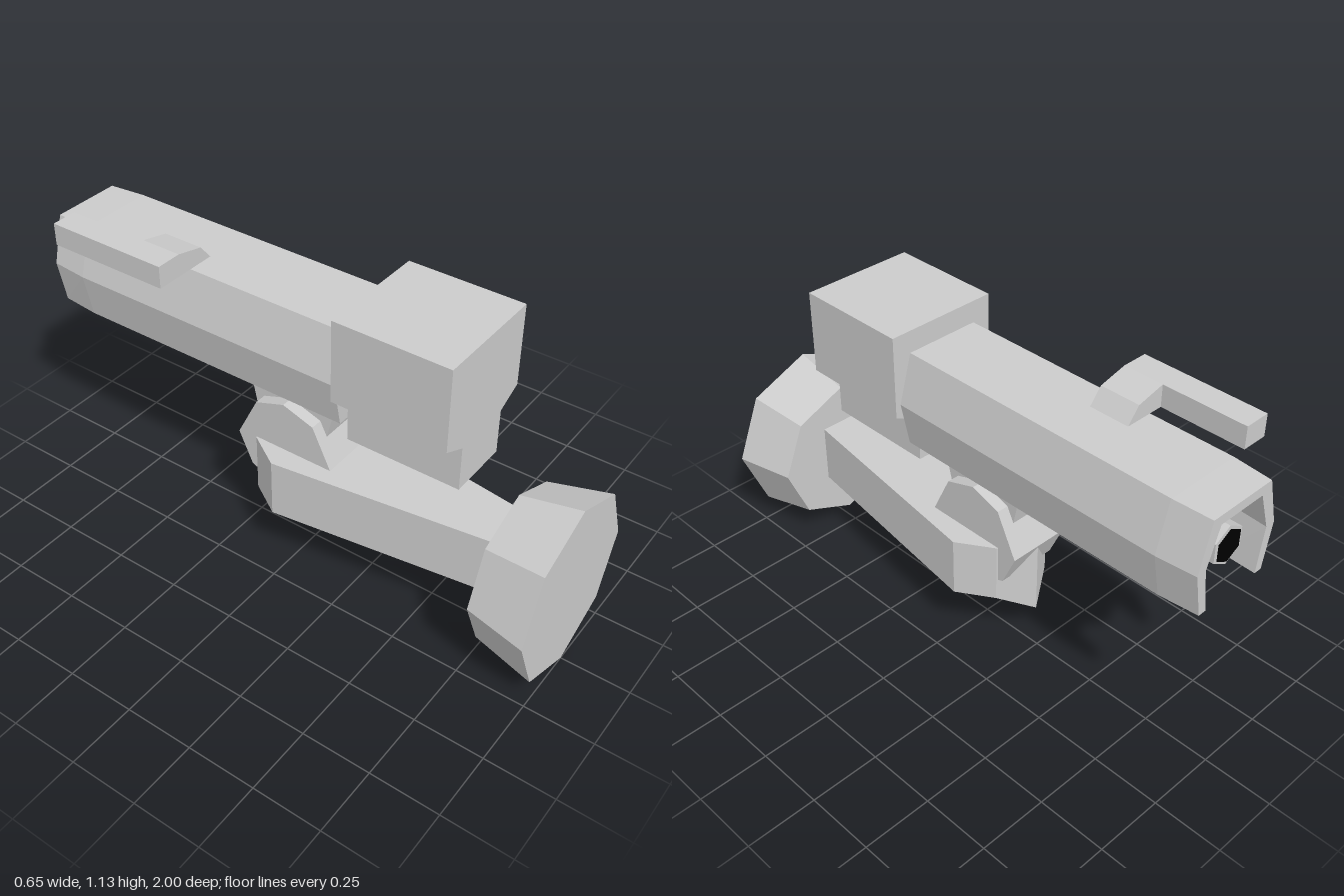
import * as THREE from 'three';

const grey = new THREE.MeshStandardMaterial({ color: 0xcccccc, flatShading: true });
const black = new THREE.MeshStandardMaterial({ color: 0x000000, flatShading: true });

const shapeOf = pts => new THREE.Shape(pts.map(p => new THREE.Vector2(p[0], p[1])));

// Mirrors a right-hand outline (listed bottom to top) into a closed symmetric one.
const mirrored = half => [...half, ...half.filter(p => p[0] > 0).reverse().map(([x, y]) => [-x, y])];

// Extrudes an x,y outline between two z planes.
function extrudeZ(pts, z0, z1) {
  return new THREE.ExtrudeGeometry(shapeOf(pts), { depth: z1 - z0, bevelEnabled: false }).translate(0, 0, z0);
}

// Extrudes a z,y outline across x, centred.
function extrudeX(pts, width) {
  return extrudeZ(pts.map(([z, y]) => [-z, y]), -width / 2, width / 2).rotateY(Math.PI / 2);
}

// Joins counter-clockwise convex sections running from front (+z) to back.
function loft(sections) {
  const pos = [];
  const tri = (...v) => v.forEach(p => pos.push(...p));
  const n = sections[0].length;
  for (let s = 0; s + 1 < sections.length; s++) {
    const a = sections[s], b = sections[s + 1];
    for (let i = 0; i < n; i++) {
      const j = (i + 1) % n;
      tri(a[i], b[i], a[j]);
      tri(b[i], b[j], a[j]);
    }
  }
  const first = sections[0], last = sections[sections.length - 1];
  for (let i = 1; i < n - 1; i++) {
    tri(first[0], first[i], first[i + 1]);
    tri(last[0], last[i + 1], last[i]);
  }
  const g = new THREE.BufferGeometry();
  g.setAttribute('position', new THREE.Float32BufferAttribute(pos, 3));
  g.computeVertexNormals();
  return g;
}

export function createModel() {
  const group = new THREE.Group();
  const add = (name, geometry, material = grey) => {
    const mesh = new THREE.Mesh(geometry, material);
    mesh.name = name;
    group.add(mesh);
    return mesh;
  };

  // Octagonal mounting pad, flaring to the front
  add('mountingPad', new THREE.CylinderGeometry(0.325, 0.275, 0.22, 8)
    .rotateX(Math.PI / 2).translate(0, 0.33, 0.89));

  // Support arm: keeled section, widest near the pivot, pointed at the back
  const armStations = [[0.78, 0.09], [-0.04, 0.2], [-0.165, 0.12], [-0.24, 0.001]];
  add('supportArm', loft(armStations.map(([z, w]) => {
    const side = w < 0.01 ? 0.17 : 0.24;
    return [[0, 0.17, z], [w, side, z], [w, 0.46, z], [-w, 0.46, z], [-w, side, z]];
  })));

  // Pivot wheel and the post that carries the barrel
  add('pivotWheel', extrudeX([[0.145, 0.455], [0.07, 0.61], [-0.05, 0.65], [-0.165, 0.61],
    [-0.245, 0.45], [-0.19, 0.33], [-0.05, 0.27], [0.09, 0.33]], 0.23));
  add('pivotPost', extrudeX([[0.14, 0.73], [0.07, 0.45], [-0.17, 0.45], [-0.23, 0.73]], 0.14));

  // Breech block with a narrower lower half
  add('breechBlock', extrudeZ(mirrored([[0.115, 0.63], [0.115, 0.795], [0.21, 0.84], [0.21, 1.14]]), 0.21, 0.63));

  // Six-sided barrel
  const outer = [[0.157, 0.72], [0.19, 0.885], [0.14, 1.06]];
  add('barrel', loft([0.21, -0.86].map(z => mirrored(outer).map(([x, y]) => [x, y, z]))));

  // Barrel hood: thin walls, open below, narrowing slightly to the end
  const inner = [[0.1, 1.025], [0.15, 0.885], [0.125, 0.72]];
  const hoodOutline = [...outer, ...outer.map(([x, y]) => [-x, y]).reverse(),
    ...inner.map(([x, y]) => [-x, y]).reverse(), ...inner];
  const hood = extrudeZ(hoodOutline, -1, -0.86);
  const p = hood.attributes.position;
  for (let i = 0; i < p.count; i++) {
    if (p.getZ(i) < -0.95) p.setXY(i, p.getX(i) * 0.93, 0.885 + (p.getY(i) - 0.885) * 0.98);
  }
  hood.computeVertexNormals();
  add('barrelHood', hood);

  // Recessed six-sided muzzle with a dark bore
  add('muzzle', new THREE.CylinderGeometry(0.07, 0.07, 0.12, 6)
    .rotateX(Math.PI / 2).translate(0, 0.88, -0.91));
  add('bore', new THREE.CircleGeometry(0.06, 6)
    .rotateZ(Math.PI / 2).rotateY(Math.PI).translate(0, 0.88, -0.973), black);

  // Side sight: a bar beside the barrel with a sloped foot resting on top
  add('sightBar', new THREE.BoxGeometry(0.095, 0.08, 0.46).translate(-0.2375, 1.1, -0.63));
  add('sightFoot', extrudeZ([[-0.19, 1.06], [-0.04, 1.06], [-0.085, 1.115], [-0.19, 1.14]], -0.55, -0.4));

  return group;
}
